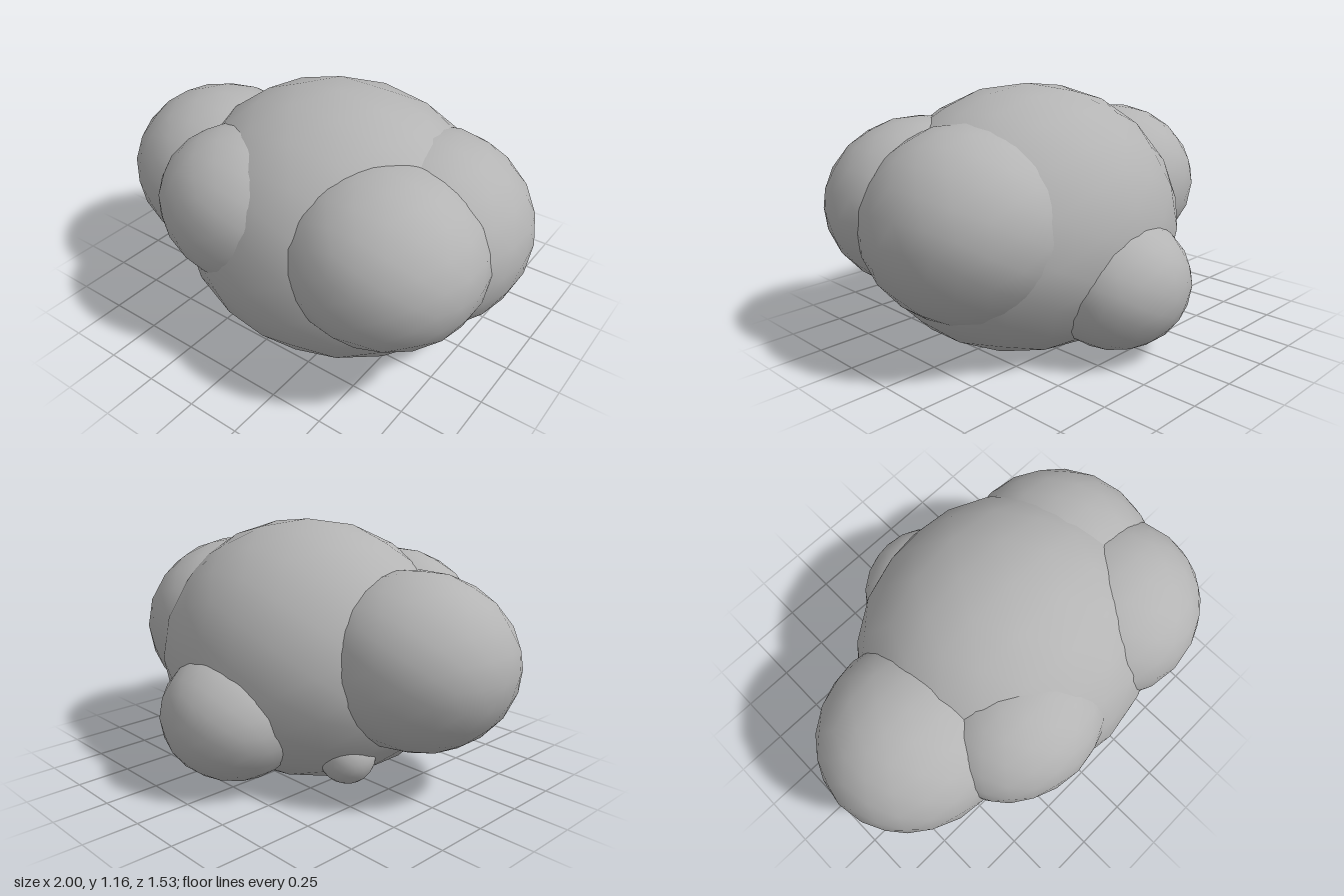
import * as THREE from 'three';
import { mergeVertices } from 'three/addons/utils/BufferGeometryUtils.js';

const stone = new THREE.MeshStandardMaterial({ color: 0xb4b4b4 });
stone.name = 'plain grey';

// Smooth-shaded ellipsoid with a coarse outline; lowerRy squashes the underside, which rests flat on y = 0
function puff(name, [x, y, z], [rx, ry, rz], lowerRy = ry) {
  let geo = new THREE.IcosahedronGeometry(1, 3);
  geo.deleteAttribute('normal');
  geo.deleteAttribute('uv');
  geo = mergeVertices(geo);
  const p = geo.attributes.position;
  for (let i = 0; i < p.count; i++) {
    const v = p.getY(i);
    const h = y + v * (v > 0 ? ry : lowerRy);
    p.setXYZ(i, x + p.getX(i) * rx, Math.max(0, h), z + p.getZ(i) * rz);
  }
  geo.computeVertexNormals();
  const mesh = new THREE.Mesh(geo, stone);
  mesh.name = name;
  return mesh;
}

export function createModel() {
  const group = new THREE.Group();
  group.name = 'cloud';
  group.add(
    // Large central body with flattened base
    puff('body', [0.11, 0.5, 0.07], [0.76, 0.66, 0.68], 0.58),
    // Side lobes
    puff('rightLobe', [-0.53, 0.59, 0.12], [0.47, 0.4, 0.435]),
    puff('leftLobe', [0.53, 0.6, 0.0], [0.47, 0.435, 0.49]),
    // Front lobes
    puff('frontRightLobe', [-0.15, 0.66, 0.4], [0.43, 0.355, 0.365]),
    puff('frontLeftLobe', [0.52, 0.64, 0.325], [0.45, 0.39, 0.425]),
    // Low lobes at the back and underside
    puff('backLobe', [0.06, 0.325, -0.44], [0.34, 0.3, 0.328]),
    puff('smallLowerLobe', [-0.37, 0.17, -0.14], [0.13, 0.13, 0.13]),
  );
  return group;
}
